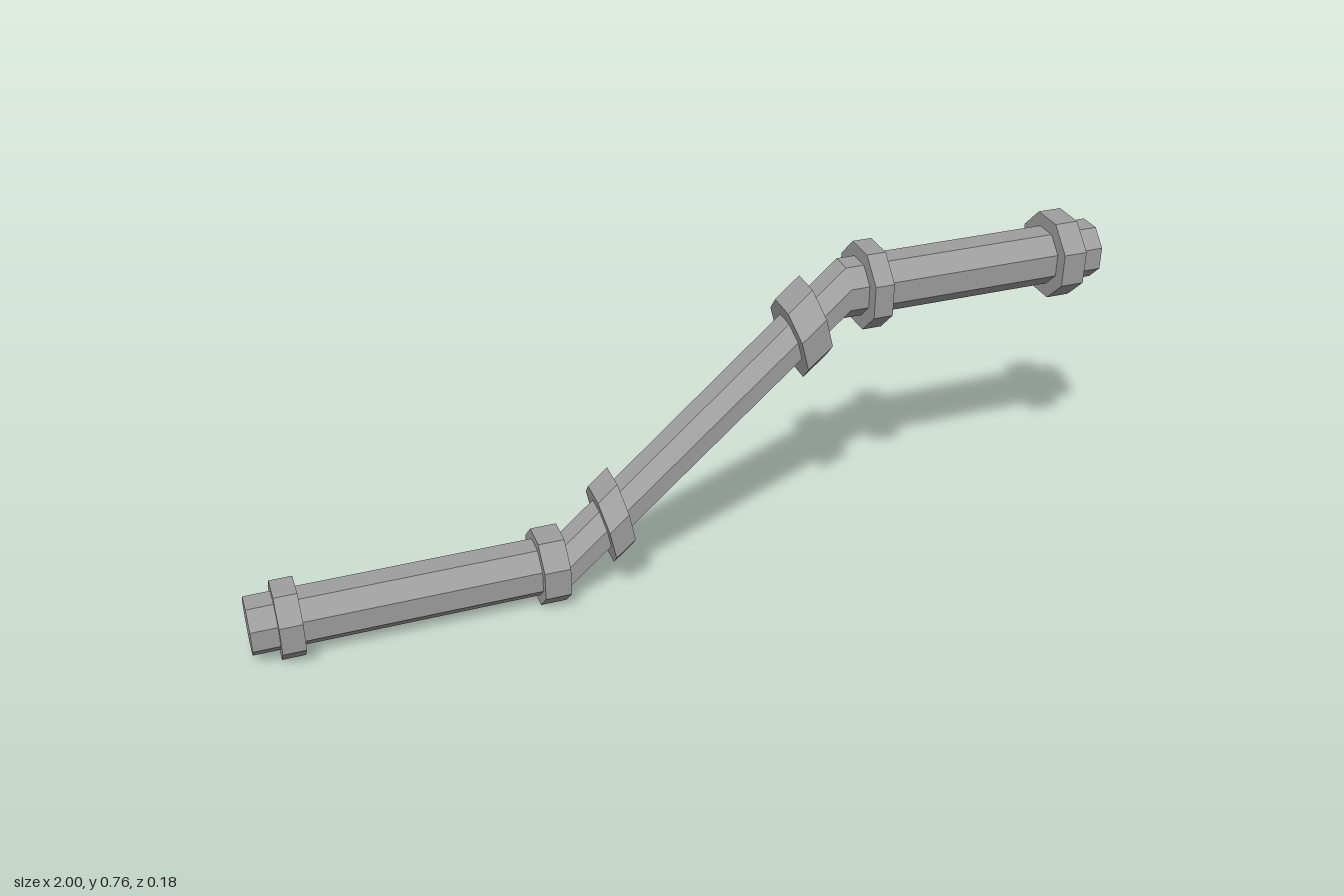
import * as THREE from 'three';

const SIDES = 8;
const LOW = 0.084, HIGH = 0.669; // heights of the two level runs
const BEND_A = -0.286, BEND_B = 0.374; // x of the two bends

// Height of the pipe's centre line at x
function centreY(x) {
  const t = THREE.MathUtils.clamp((x - BEND_A) / (BEND_B - BEND_A), 0, 1);
  return LOW + (HIGH - LOW) * t;
}

// Capped octagonal sweep through stations { x, half, lean, tall }:
// half = half width across flats, lean = x shift at the top, tall = half height
function sweep(stations) {
  const pos = [];
  const k = 1 / Math.cos(Math.PI / SIDES);
  const rings = stations.map(({ x, half, lean = 0, tall = half }) => {
    const ring = [];
    for (let i = 0; i < SIDES; i++) {
      const a = ((i + 0.5) / SIDES) * Math.PI * 2;
      const u = Math.cos(a) * k, v = Math.sin(a) * k;
      ring.push([x + lean * u, centreY(x) + tall * u, half * v]);
    }
    return ring;
  });
  const tri = (a, b, c) => pos.push(...a, ...b, ...c);
  for (let s = 0; s < rings.length - 1; s++) {
    const p = rings[s], q = rings[s + 1];
    for (let i = 0; i < SIDES; i++) {
      const j = (i + 1) % SIDES;
      tri(p[i], p[j], q[j]);
      tri(p[i], q[j], q[i]);
    }
  }
  // End caps
  const first = rings[0], last = rings[rings.length - 1];
  for (let i = 1; i < SIDES - 1; i++) {
    tri(first[0], first[i + 1], first[i]);
    tri(last[0], last[i], last[i + 1]);
  }
  const g = new THREE.BufferGeometry();
  g.setAttribute('position', new THREE.Float32BufferAttribute(pos, 3));
  g.computeVertexNormals();
  return g;
}

export function createModel() {
  const model = new THREE.Group();
  model.name = 'bentPipe';
  const material = new THREE.MeshStandardMaterial({ color: 0x9f9f9f, flatShading: true });

  const add = (name, stations) => {
    const mesh = new THREE.Mesh(sweep(stations), material);
    mesh.name = name;
    model.add(mesh);
  };

  // Pipe with upright cross-sections at the bends
  add('pipe', [-1, BEND_A, BEND_B, 1].map((x) => ({ x, half: 0.062 })));

  // Collars: name, start x, end x, half width, lean, half height
  const collars = [
    ['lowerEndCollar', -0.94, -0.888, 0.082, 0, 0.084],
    ['lowerBendCollar', -0.352, -0.291, 0.082, 0, 0.084],
    ['lowerSlopeCollar', -0.194, -0.148, 0.092, -0.017, 0.084],
    ['upperSlopeCollar', 0.256, 0.312, 0.092, -0.021, 0.083],
    ['upperBendCollar', 0.417, 0.462, 0.092, 0, 0.092],
    ['upperEndCollar', 0.885, 0.94, 0.092, 0, 0.092],
  ];
  for (const [name, x0, x1, half, lean, tall] of collars) {
    add(name, [x0, x1].map((x) => ({ x, half, lean, tall })));
  }
  return model;
}
